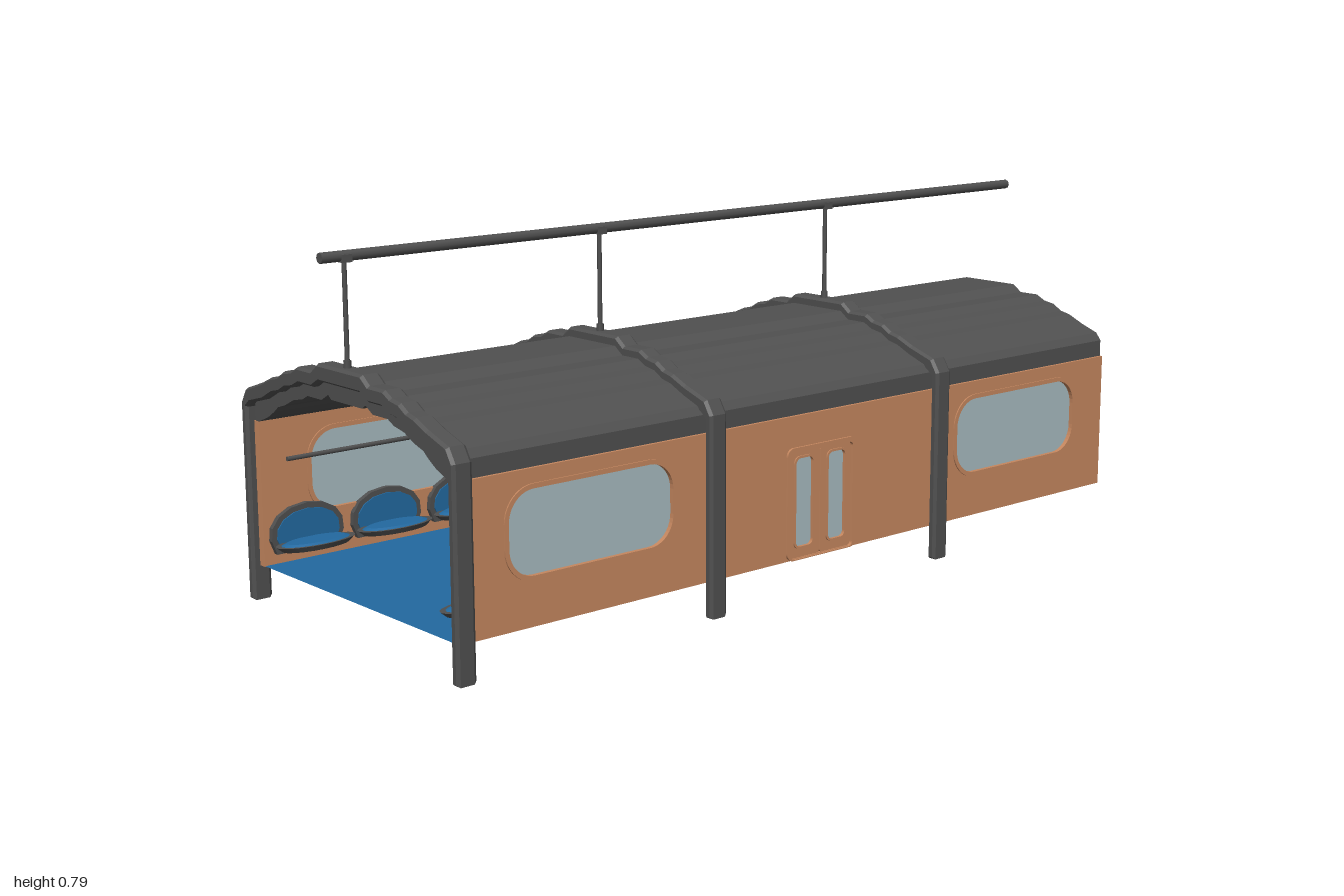
import * as THREE from 'three';

const mat = (name, color, side = THREE.FrontSide) => {
  const m = new THREE.MeshStandardMaterial({ color, side });
  m.name = name;
  return m;
};

// Right half of a stepped vault, bottom to crown; mirrored into a full line
const mirrorLine = (half) => [...half, ...half.slice().reverse().map(([x, y]) => [-x, y])];
const ARCH_OUT = [[0.383, 0], [0.383, 0.43], [0.364, 0.46], [0.3, 0.481], [0.26, 0.498], [0.234, 0.504],
  [0.21, 0.518], [0.18, 0.523], [0.157, 0.535], [0.104, 0.535], [0.08, 0.553]];
const ARCH_IN = [[0.363, 0], [0.363, 0.42], [0.348, 0.432], [0.295, 0.446], [0.255, 0.466], [0.228, 0.472],
  [0.204, 0.485], [0.175, 0.49], [0.15, 0.502], [0.1, 0.502], [0.074, 0.517]];
const ROOF_OUT = [[0.355, 0.39], [0.355, 0.428], [0.342, 0.445], [0.298, 0.461], [0.258, 0.479], [0.231, 0.485],
  [0.207, 0.499], [0.178, 0.504], [0.154, 0.516], [0.102, 0.516], [0.078, 0.533]];
const ROOF_IN = [[0.343, 0.39], [0.305, 0.405], [0.28, 0.42], [0.263, 0.433], [0.234, 0.442],
  [0.2, 0.458], [0.165, 0.465], [0.145, 0.475], [0.093, 0.475], [0.066, 0.49]];

const bandShape = (outer, inner) => new THREE.Shape(
  [...mirrorLine(outer), ...mirrorLine(inner).reverse()].map(([x, y]) => new THREE.Vector2(x, y)));

// Rounded rectangle outline between two corners
function rounded(x0, x1, y0, y1, r, Type = THREE.Shape) {
  const s = new Type();
  s.moveTo(x0 + r, y0);
  s.lineTo(x1 - r, y0);
  s.absarc(x1 - r, y0 + r, r, -Math.PI / 2, 0);
  s.lineTo(x1, y1 - r);
  s.absarc(x1 - r, y1 - r, r, 0, Math.PI / 2);
  s.lineTo(x0 + r, y1);
  s.absarc(x0 + r, y1 - r, r, Math.PI / 2, Math.PI);
  s.lineTo(x0, y0 + r);
  s.absarc(x0 + r, y0 + r, r, Math.PI, Math.PI * 1.5);
  return s;
}

// Extrude a (z, y) outline across x, centred on x = 0
function sidePlate(shape, depth) {
  const g = new THREE.ExtrudeGeometry(shape, { depth, bevelEnabled: false, curveSegments: 5 });
  return g.translate(0, 0, -depth / 2).rotateY(-Math.PI / 2);
}

export function createModel() {
  const root = new THREE.Group();
  root.name = 'railCarriage';
  const grey = mat('dark grey metal', 0x505050);
  const copper = mat('copper wall', 0xc5875f);
  const blue = mat('blue floor and cushions', 0x2269a0, THREE.DoubleSide);
  const glass = mat('pale glass', 0xa8bbc0);

  const add = (name, geo, material, x = 0, y = 0, z = 0, parent = root) => {
    const m = new THREE.Mesh(geo, material);
    m.name = name;
    m.position.set(x, y, z);
    parent.add(m);
    return m;
  };

  // Roof, ceiling strip and floor
  const LEN = 1.9;
  add('roof', new THREE.ExtrudeGeometry(bandShape(ROOF_OUT, ROOF_IN), { depth: LEN, bevelEnabled: false }),
    grey, 0, 0, -LEN / 2);
  const strip = new THREE.Shape([[-0.066, 0.492], [-0.066, 0.488], [-0.056, 0.481], [0.056, 0.481],
    [0.066, 0.488], [0.066, 0.492]].map(([x, y]) => new THREE.Vector2(x, y)));
  add('ceilingStrip', new THREE.ExtrudeGeometry(strip, { depth: LEN, bevelEnabled: false }), grey, 0, 0, -LEN / 2);
  add('floor', new THREE.PlaneGeometry(0.69, LEN).rotateX(-Math.PI / 2), blue, 0, 0.077, 0);

  // Side walls with windows and double doors
  const windows = [[0.42, 0.83], [-0.84, -0.43]];
  const wall = rounded(-LEN / 2, LEN / 2, 0.075, 0.39, 0.0001);
  windows.forEach(([a, b]) => wall.holes.push(rounded(a, b, 0.178, 0.35, 0.06, THREE.Path)));
  wall.holes.push(rounded(-0.095, 0.095, 0.078, 0.31, 0.012, THREE.Path));
  const wallGeo = sidePlate(wall, 0.02);

  const doorFrame = rounded(-0.103, 0.103, 0.075, 0.322, 0.018);
  doorFrame.holes.push(rounded(-0.092, 0.092, 0.077, 0.311, 0.01, THREE.Path));
  const frameGeo = sidePlate(doorFrame, 0.03);

  for (const s of [1, -1]) {
    const side = new THREE.Group();
    side.name = s > 0 ? 'leftSide' : 'rightSide';
    side.position.x = s * 0.352;
    root.add(side);
    add('wall', wallGeo, copper, 0, 0, 0, side);
    add('doorFrame', frameGeo, copper, 0, 0, 0, side);
    for (const [a, b] of windows) {
      const trim = rounded(a - 0.01, b + 0.01, 0.168, 0.36, 0.07);
      trim.holes.push(rounded(a, b, 0.178, 0.35, 0.06, THREE.Path));
      add('windowTrim', sidePlate(trim, 0.026), copper, 0, 0, 0, side);
      add('windowGlass', sidePlate(rounded(a, b, 0.178, 0.35, 0.06), 0.006), glass, 0, 0, 0, side);
    }
    for (const d of [1, -1]) {
      const [a, b] = d > 0 ? [0.002, 0.094] : [-0.094, -0.002];
      const [p, q] = d > 0 ? [0.023, 0.073] : [-0.073, -0.023];
      const leaf = rounded(a, b, 0.077, 0.312, 0.006);
      leaf.holes.push(rounded(p, q, 0.102, 0.296, 0.012, THREE.Path));
      add('doorLeaf', sidePlate(leaf, 0.014), copper, 0, 0, 0, side);
      const rim = rounded(p - 0.005, q + 0.005, 0.097, 0.301, 0.016);
      rim.holes.push(rounded(p, q, 0.102, 0.296, 0.012, THREE.Path));
      add('doorPaneTrim', sidePlate(rim, 0.02), copper, 0, 0, 0, side);
      add('doorGlass', sidePlate(rounded(p, q, 0.102, 0.296, 0.012), 0.005), glass, 0, 0, 0, side);
    }
  }

  // Support arches, each carrying a hanger for the overhead rail
  const archGeo = new THREE.ExtrudeGeometry(bandShape(ARCH_OUT, ARCH_IN), {
    depth: 0.032, bevelEnabled: true, bevelThickness: 0.007, bevelSize: 0.005, bevelOffset: -0.005, bevelSegments: 1,
  }).translate(0, 0, -0.016);
  for (const z of [0.945, 0.312, -0.362]) {
    add('supportArch', archGeo, grey, 0, 0, z);
    add('hangerRod', new THREE.CylinderGeometry(0.005, 0.005, 0.22, 8), grey, 0, 0.66, z);
    add('hangerFoot', new THREE.CylinderGeometry(0.008, 0.008, 0.016, 8), grey, 0, 0.56, z);
    add('hangerClamp', new THREE.BoxGeometry(0.026, 0.016, 0.022), grey, 0, 0.77, z);
  }
  add('overheadRail', new THREE.CylinderGeometry(0.011, 0.011, 2, 8).rotateX(Math.PI / 2), grey, 0, 0.774, 0);

  // Seats along both walls, built facing -x and turned round for the other side
  const backShape = (w, y0, y1) => {
    const s = new THREE.Shape();
    s.moveTo(-w * 0.8, y0);
    s.lineTo(w * 0.8, y0);
    s.bezierCurveTo(w * 1.15, y0 + (y1 - y0) * 0.5, w * 0.8, y1, 0, y1);
    s.bezierCurveTo(-w * 0.8, y1, -w * 1.15, y0 + (y1 - y0) * 0.5, -w * 0.8, y0);
    return s;
  };
  const backGeo = sidePlate(backShape(0.095, 0.1, 0.202), 0.012);
  const backPadGeo = sidePlate(backShape(0.082, 0.108, 0.19), 0.004);
  const disc = (rt, rb, h) => new THREE.CylinderGeometry(rt, rb, h, 20).scale(0.41, 1, 1);
  for (const s of [1, -1]) {
    for (const z of [0.85, 0.65, 0.45, 0.25, -0.25, -0.45, -0.65, -0.85]) {
      const seat = new THREE.Group();
      seat.name = 'seat';
      seat.rotation.y = s > 0 ? 0 : Math.PI;
      seat.position.z = z;
      root.add(seat);
      add('seatBack', backGeo, grey, 0.336, 0, 0, seat);
      add('backCushion', backPadGeo, blue, 0.329, 0, 0, seat);
      add('seatBase', disc(0.095, 0.08, 0.012), grey, 0.3, 0.118, 0, seat);
      add('seatCushion', disc(0.07, 0.082, 0.004), blue, 0.3, 0.126, 0, seat);
    }
  }

  // Handrail on the right side, with posts and curved wall braces
  const RX = -0.235;
  add('handrail', new THREE.CylinderGeometry(0.005, 0.005, LEN, 8).rotateX(Math.PI / 2), grey, RX, 0.329, 0);
  const brace = new THREE.CatmullRomCurve3([[-0.344, 0.268], [-0.295, 0.261], [-0.26, 0.245], [RX, 0.213]]
    .map(([x, y]) => new THREE.Vector3(x, y, 0)));
  const braceGeo = new THREE.TubeGeometry(brace, 8, 0.005, 8);
  for (const z of [0.13, -0.13]) {
    add('handrailPost', new THREE.CylinderGeometry(0.005, 0.005, 0.254, 8), grey, RX, 0.204, z);
    add('handrailBrace', braceGeo, grey, 0, 0, z);
  }
  return root;
}
